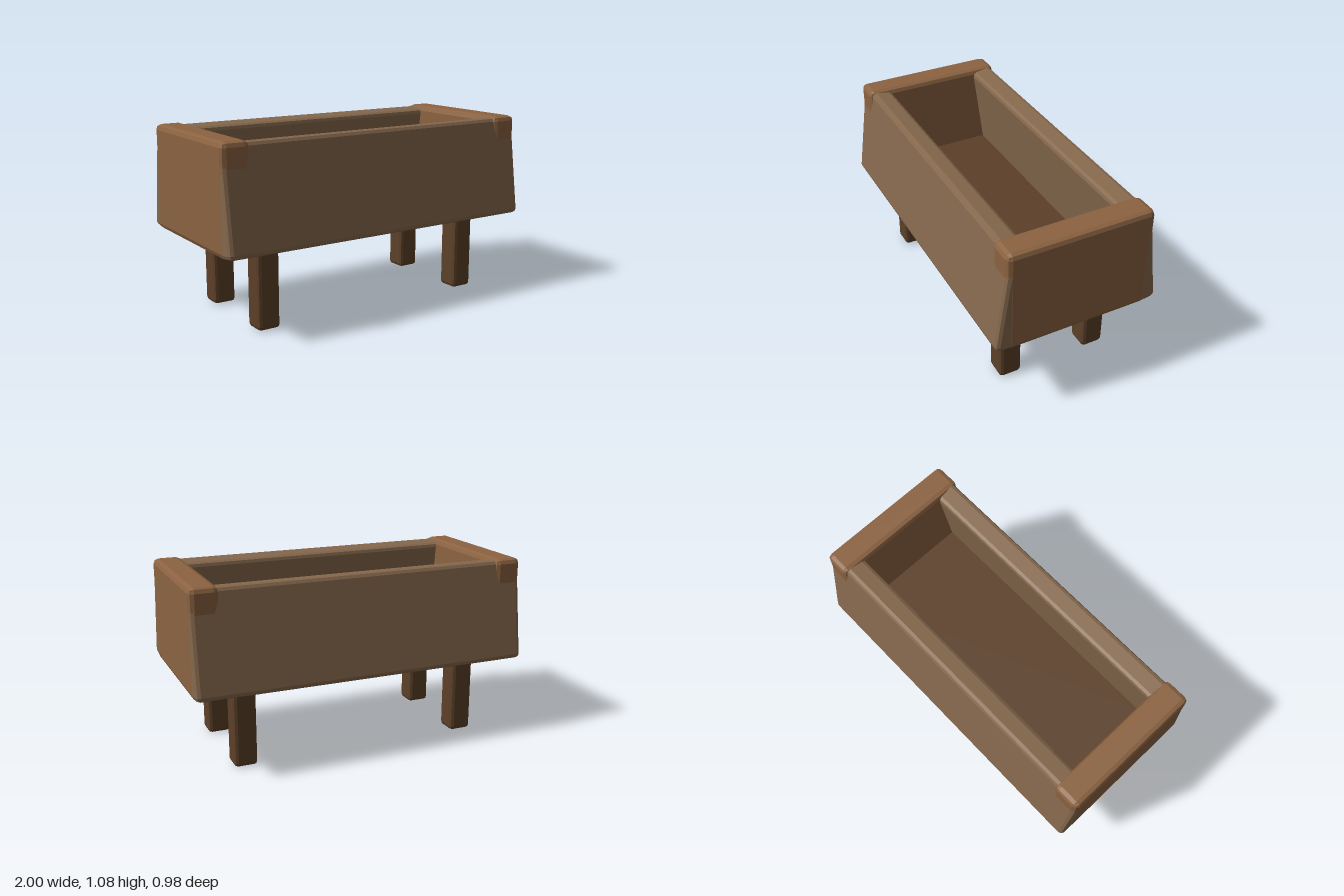
import * as THREE from 'three';
import { RoundedBoxGeometry } from 'three/addons/geometries/RoundedBoxGeometry.js';

const wood = (color) => new THREE.MeshStandardMaterial({ color, flatShading: true });

export function createModel() {
  const model = new THREE.Group();
  const sideWood = wood(0x86694d);
  const endWood = wood(0x8c6341);
  const darkWood = wood(0x5c4029);

  // Chamfered wooden block, given by size and centre
  function block(name, [w, h, d], [x, y, z], bevel, material) {
    const mesh = new THREE.Mesh(new RoundedBoxGeometry(w, h, d, 1, bevel), material);
    mesh.name = name;
    mesh.position.set(x, y, z);
    model.add(mesh);
    return mesh;
  }

  // Long side boards, leaning inwards towards the top
  const lean = THREE.MathUtils.degToRad(8);
  for (const s of [1, -1]) {
    const board = block(s > 0 ? 'frontBoard' : 'backBoard', [1.998, 0.6, 0.13], [0, 0.764, s * 0.388], 0.025, sideWood);
    board.rotation.x = -s * lean;
  }

  // Upright end boards
  for (const s of [1, -1]) {
    block(s > 0 ? 'leftEndBoard' : 'rightEndBoard', [0.165, 0.615, 0.86], [s * 0.9175, 0.7675, 0], 0.03, endWood);
  }

  // Trough floor
  const floor = new THREE.Mesh(new THREE.BoxGeometry(1.76, 0.09, 0.76), darkWood);
  floor.name = 'floor';
  floor.position.y = 0.525;
  model.add(floor);

  // Four legs, running up into the floor
  for (const x of [1, -1]) {
    for (const z of [1, -1]) {
      const name = (z > 0 ? 'front' : 'back') + (x > 0 ? 'Left' : 'Right') + 'Leg';
      block(name, [0.135, 0.53, 0.135], [x * 0.692, 0.265, z * 0.272], 0.022, darkWood);
    }
  }

  return model;
}
